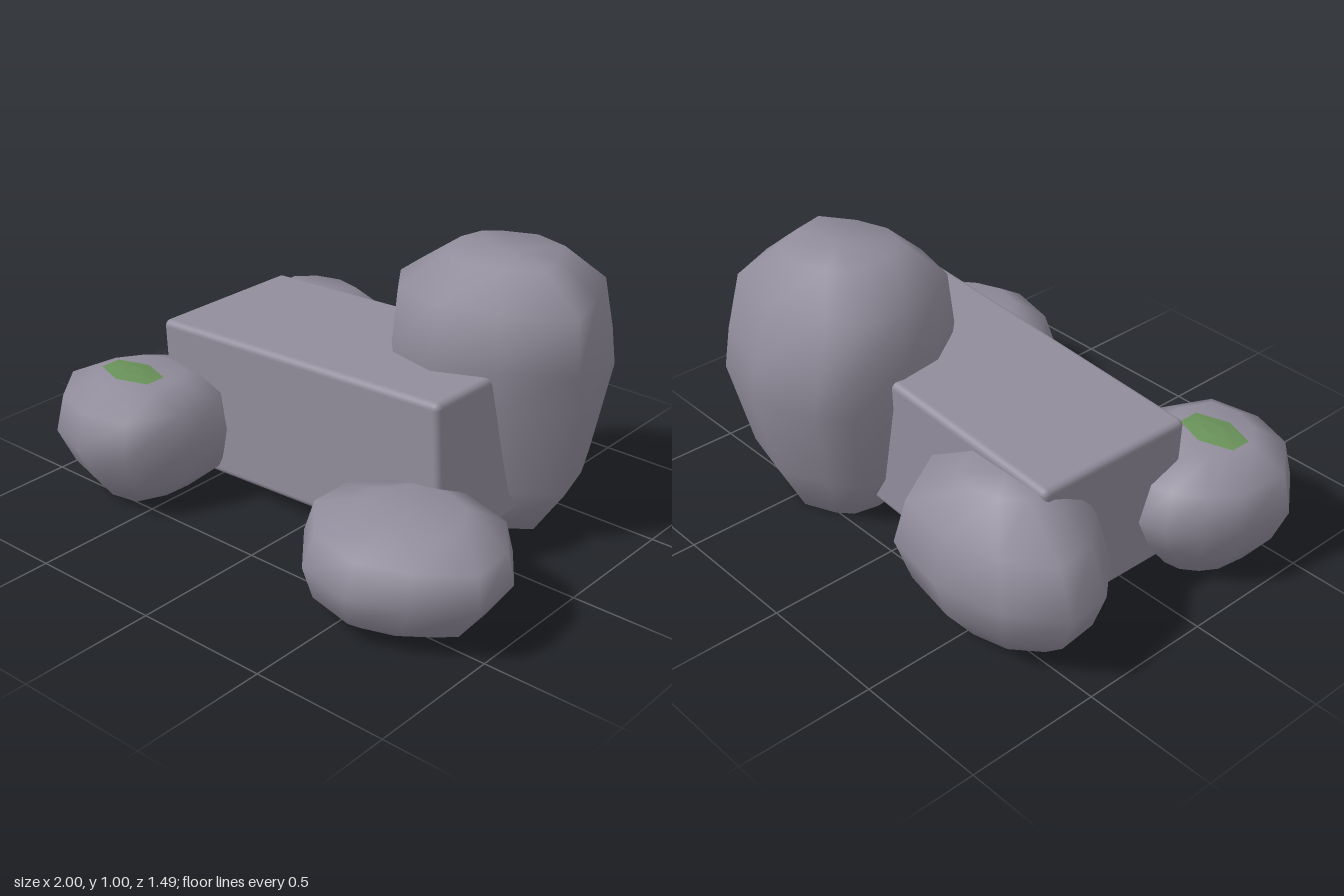
import * as THREE from 'three';
import { RoundedBoxGeometry } from 'three/addons/geometries/RoundedBoxGeometry.js';

// Boulder from a plan outline [x, z] refitted to each level [y, x0, x1, z0, z1]
function boulderGeometry(outline, levels) {
  const xs = outline.map((p) => p[0]), zs = outline.map((p) => p[1]);
  const minX = Math.min(...xs), maxX = Math.max(...xs);
  const minZ = Math.min(...zs), maxZ = Math.max(...zs);
  const n = outline.length, pos = [], index = [];
  for (const [y, x0, x1, z0, z1] of levels) {
    for (const [x, z] of outline) {
      pos.push(
        x0 + ((x - minX) / (maxX - minX)) * (x1 - x0), y,
        z0 + ((z - minZ) / (maxZ - minZ)) * (z1 - z0));
    }
  }
  // centres of the flat bottom and top
  const bottom = pos.length / 3, top = bottom + 1;
  for (const [y, x0, x1, z0, z1] of [levels[0], levels[levels.length - 1]]) {
    pos.push((x0 + x1) / 2, y, (z0 + z1) / 2);
  }
  const last = (levels.length - 1) * n;
  for (let i = 0; i < n; i++) {
    const j = (i + 1) % n;
    for (let k = 0; k < last; k += n) {
      index.push(k + i, k + j, k + n + j, k + i, k + n + j, k + n + i);
    }
    index.push(bottom, j, i, top, last + i, last + j);
  }
  const g = new THREE.BufferGeometry();
  g.setAttribute('position', new THREE.Float32BufferAttribute(pos, 3));
  g.setIndex(index);
  g.computeVertexNormals();
  return g;
}

const boulders = {
  frontRightBoulder: {
    outline: [[-0.69, 0.02], [-0.8, 0.04], [-0.9, 0.12], [-0.97, 0.23], [-1, 0.44], [-0.86, 0.62],
      [-0.68, 0.68], [-0.48, 0.64], [-0.39, 0.44], [-0.38, 0.24], [-0.47, 0.08]],
    levels: [[0, -0.86, -0.53, 0.17, 0.52], [0.12, -0.95, -0.39, 0.08, 0.62], [0.25, -1, -0.375, 0.02, 0.68],
      [0.39, -0.97, -0.39, 0.06, 0.65], [0.455, -0.83, -0.51, 0.22, 0.54]],
  },
  frontLeftBoulder: {
    outline: [[0.63, 0.085], [0.4, 0.14], [0.25, 0.32], [0.25, 0.5], [0.41, 0.69], [0.63, 0.745],
      [0.83, 0.67], [1, 0.53], [0.985, 0.33], [0.86, 0.16]],
    levels: [[0, 0.36, 0.79, 0.26, 0.6], [0.08, 0.29, 0.92, 0.18, 0.7], [0.2, 0.25, 1, 0.09, 0.745],
      [0.32, 0.29, 0.98, 0.13, 0.71], [0.38, 0.46, 0.83, 0.25, 0.61]],
  },
  tallBackBoulder: {
    outline: [[0.43, -0.75], [0.2, -0.65], [0.1, -0.56], [0.06, -0.38], [0.08, -0.2], [0.18, -0.04],
      [0.39, 0.02], [0.62, -0.06], [0.84, -0.22], [0.78, -0.46], [0.69, -0.68]],
    levels: [[0, 0.24, 0.64, -0.56, -0.16], [0.2, 0.12, 0.78, -0.66, -0.07], [0.53, 0.06, 0.84, -0.745, -0.01],
      [0.68, 0.06, 0.835, -0.72, 0.02], [0.88, 0.07, 0.82, -0.66, -0.01], [1, 0.24, 0.65, -0.53, -0.14]],
  },
  backRightBoulder: {
    outline: [[-0.51, -0.725], [-0.76, -0.67], [-0.94, -0.54], [-0.92, -0.37], [-0.79, -0.22], [-0.55, -0.12],
      [-0.3, -0.15], [-0.12, -0.3], [-0.09, -0.42], [-0.25, -0.68]],
    levels: [[0, -0.75, -0.31, -0.58, -0.2], [0.13, -0.88, -0.15, -0.68, -0.14], [0.28, -0.94, -0.085, -0.725, -0.11],
      [0.45, -0.87, -0.14, -0.69, -0.15], [0.58, -0.67, -0.35, -0.56, -0.27]],
  },
};

export function createModel() {
  const group = new THREE.Group();
  const stone = new THREE.MeshStandardMaterial({ color: 0x928d9c });
  stone.name = 'stone';
  const moss = new THREE.MeshStandardMaterial({ color: 0x689058 });
  moss.name = 'moss';

  const add = (name, geometry, material) => {
    const mesh = new THREE.Mesh(geometry, material);
    mesh.name = name;
    group.add(mesh);
    return mesh;
  };

  // Four rounded boulders
  for (const [name, { outline, levels }] of Object.entries(boulders)) {
    add(name, boulderGeometry(outline, levels), stone);
  }

  // Slightly tilted stone block lying between them
  const block = add('stoneBlock', new RoundedBoxGeometry(1.305, 0.56, 0.635, 3, 0.025), stone);
  block.position.set(-0.043, 0.35, -0.1);
  block.rotation.set(0, -0.02, 0.05);

  // Low six-sided patch of moss on one boulder
  const patch = add('mossPatch', new THREE.CylinderGeometry(0.4, 1, 0.009, 6), moss);
  patch.scale.set(0.139, 1, 0.081);
  patch.position.set(-0.69, 0.4595, 0.387);

  return group;
}
